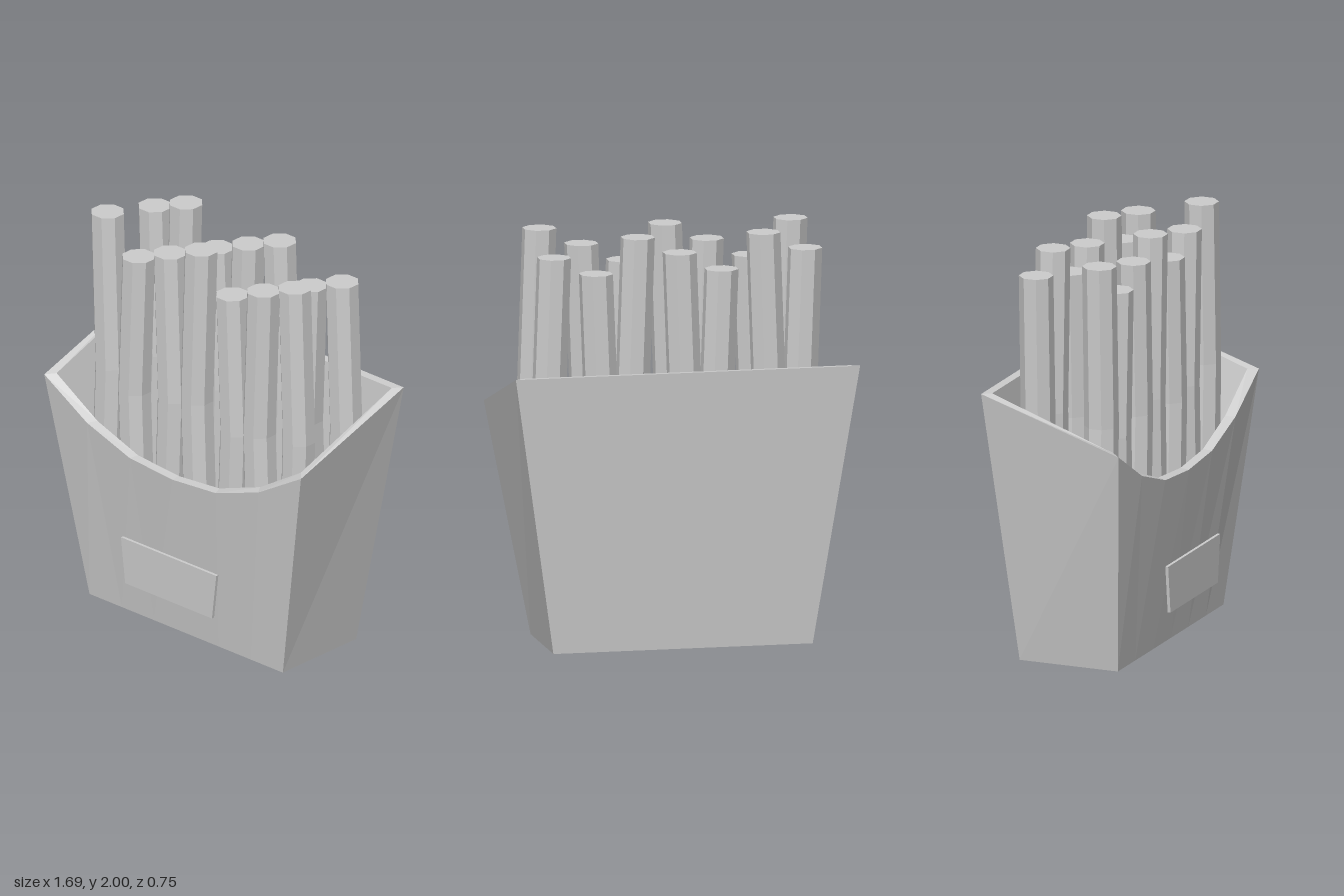
import * as THREE from 'three';

const paper = new THREE.MeshStandardMaterial({ color: 0xcccccc, flatShading: true });
paper.name = 'light grey';

// Ring of points, counter-clockwise from above: front edge left to right, then the back corners
function ring(halfWidth, front, back, frontY, backY) {
  const pts = frontY.map((y, i) => [halfWidth * (i / 3 - 1), y, front]);
  pts.push([halfWidth, backY, back], [-halfWidth, backY, back]);
  return pts;
}

// Walls between successive rings, plus a base and an inner floor
function cartonGeometry() {
  const flat = (y) => Array(7).fill(y);
  const rim = [1.13, 0.965, 0.87, 0.848, 0.87, 0.965, 1.13];
  const rings = [
    ring(0.635, 0.25, -0.262, flat(0), 0),
    ring(0.843, 0.345, -0.373, rim, 1.365),
    ring(0.802, 0.302, -0.333, rim.map((y) => y + 0.005), 1.362),
    ring(0.585, 0.207, -0.225, flat(0.04), 0.04),
  ];
  const pos = [];
  const quad = (a, b, c, d) => pos.push(...a, ...b, ...c, ...a, ...c, ...d);
  for (let r = 0; r < 3; r++) {
    const lo = rings[r], hi = rings[r + 1];
    for (let i = 0; i < lo.length; i++) {
      const j = (i + 1) % lo.length;
      quad(lo[i], lo[j], hi[j], hi[i]);
    }
  }
  const base = rings[0], floor = rings[3];
  quad(base[8], base[7], base[6], base[0]);
  quad(floor[0], floor[6], floor[7], floor[8]);
  const geo = new THREE.BufferGeometry();
  geo.setAttribute('position', new THREE.Float32BufferAttribute(pos, 3));
  geo.computeVertexNormals();
  return geo;
}

// Eight-sided stick with a slight sideways kink halfway up
function fryGeometry(top, bend) {
  const bottom = 0.4;
  const geo = new THREE.CylinderGeometry(0.083, 0.083, top - bottom, 8, 2);
  geo.rotateY(Math.PI / 8);
  const p = geo.attributes.position;
  for (let i = 0; i < p.count; i++) {
    if (Math.abs(p.getY(i)) < 0.01) p.setX(i, p.getX(i) + bend);
  }
  geo.translate(0, (top + bottom) / 2, 0);
  geo.computeVertexNormals();
  return geo;
}

export function createModel() {
  const model = new THREE.Group();
  model.name = 'friesCarton';
  const add = (geo, name, parent = model) => {
    const mesh = new THREE.Mesh(geo, paper);
    mesh.name = name;
    parent.add(mesh);
    return mesh;
  };

  add(cartonGeometry(), 'carton');

  // Two rows of seven fries with cycling heights
  const heights = [2, 1.83, 1.917];
  [['frontFries', 0.145, 0], ['backFries', -0.185, 2]].forEach(([name, z, shift]) => {
    const row = new THREE.Group();
    row.name = name;
    for (let i = 0; i < 7; i++) {
      const geo = fryGeometry(heights[(i + shift) % 3], i % 2 ? -0.027 : 0.027);
      add(geo, 'fry', row).position.set((i - 3) * 0.205, 0, z);
    }
    model.add(row);
  });

  // Blank label plate in front of the carton
  const label = new THREE.Shape([
    new THREE.Vector2(-0.285, 0.215), new THREE.Vector2(0.285, 0.215),
    new THREE.Vector2(0.313, 0.45), new THREE.Vector2(-0.313, 0.45),
  ]);
  const plate = new THREE.ExtrudeGeometry(label, { depth: 0.015, bevelEnabled: false });
  add(plate, 'labelPlate').position.z = 0.358;

  return model;
}
